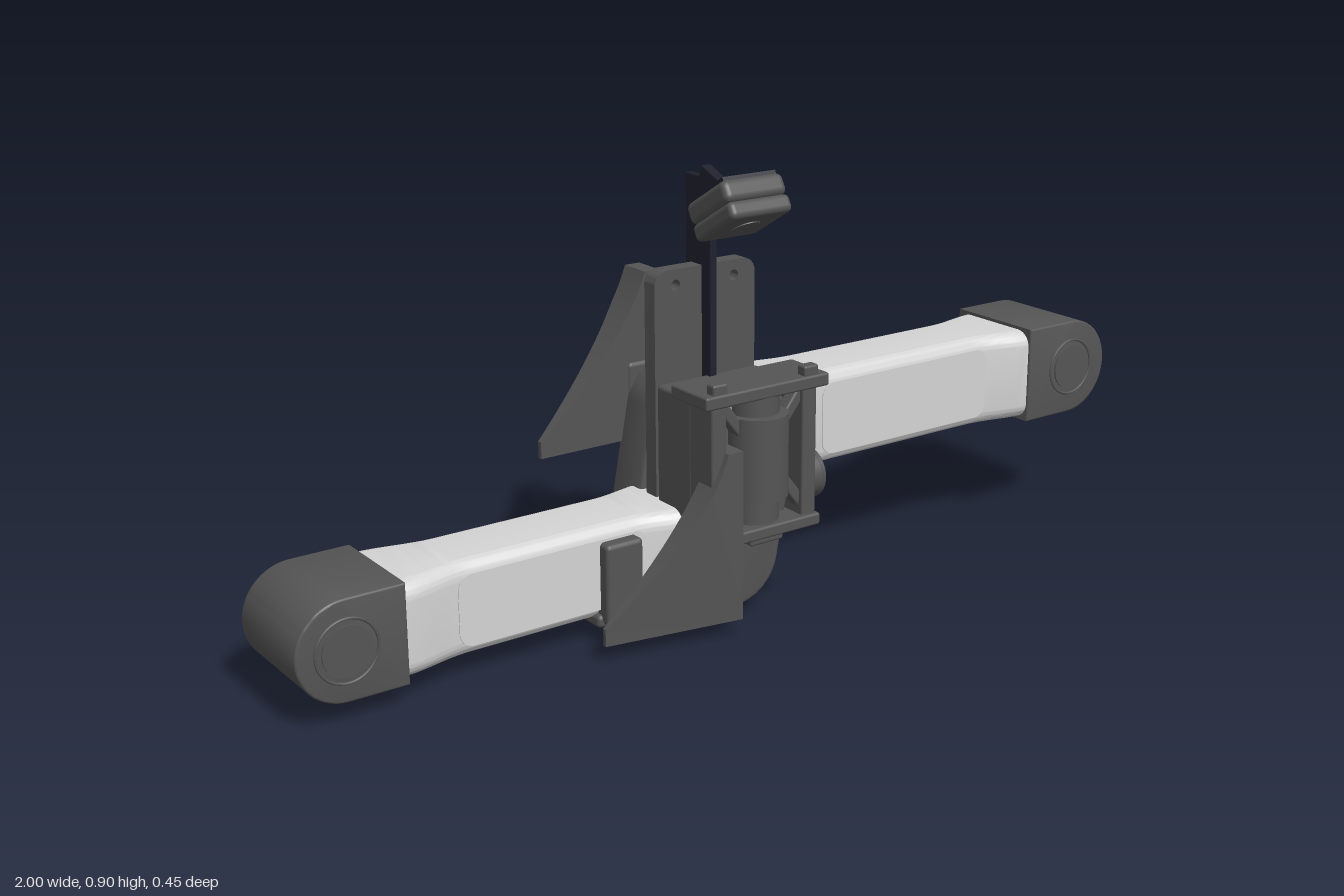
import * as THREE from 'three';
import { toCreasedNormals } from 'three/addons/utils/BufferGeometryUtils.js';
import { RoundedBoxGeometry } from 'three/addons/geometries/RoundedBoxGeometry.js';

const std = (name, color) => { const m = new THREE.MeshStandardMaterial({ color }); m.name = name; return m; };

function roundedRect(w, h, r, cx = 0, cy = 0) {
  const s = new THREE.Shape(), x = w / 2, y = h / 2;
  s.absarc(cx + x - r, cy + y - r, r, 0, Math.PI / 2);
  s.absarc(cx - x + r, cy + y - r, r, Math.PI / 2, Math.PI);
  s.absarc(cx - x + r, cy - y + r, r, Math.PI, Math.PI * 1.5);
  s.absarc(cx + x - r, cy - y + r, r, Math.PI * 1.5, Math.PI * 2);
  return s;
}

const smooth = (g) => toCreasedNormals(g, 0.6);

export function createModel() {
  const root = new THREE.Group();
  root.name = 'robotArm';
  const dark = std('dark grey plastic', 0x555555);
  const light = std('light grey plastic', 0xd4d4d4);
  const navy = std('navy metal', 0x20202e);

  const add = (name, geo, mat, x = 0, y = 0, z = 0, parent = root) => {
    const m = new THREE.Mesh(geo, mat);
    m.name = name;
    m.position.set(x, y, z);
    parent.add(m);
    return m;
  };
  const box = (name, mat, x0, x1, y0, y1, z0, z1, r = 0.005) =>
    add(name, new RoundedBoxGeometry(x1 - x0, y1 - y0, z1 - z0, 2, r), mat, (x0 + x1) / 2, (y0 + y1) / 2, (z0 + z1) / 2);
  // Shape in the xy plane, thickened from z0 to z1
  const slab = (name, mat, shape, z0, z1, bevel = 0) => {
    const g = new THREE.ExtrudeGeometry(shape, {
      depth: z1 - z0 - 2 * bevel, bevelEnabled: bevel > 0, bevelSize: bevel,
      bevelThickness: bevel, bevelOffset: -bevel, bevelSegments: 3, curveSegments: 16,
    });
    return add(name, smooth(g), mat, 0, 0, z0 + bevel);
  };
  const cyl = (name, mat, r, len, axis, x, y, z) => {
    const m = add(name, new THREE.CylinderGeometry(r, r, len, 40), mat, x, y, z);
    if (axis === 'x') m.rotation.z = Math.PI / 2;
    if (axis === 'z') m.rotation.x = Math.PI / 2;
    return m;
  };

  // Arm links: rounded section, waisted in the middle
  function link(name, x0, x1, yc, h) {
    const len = x1 - x0;
    const g = new THREE.ExtrudeGeometry(roundedRect(0.225, h, 0.035), { depth: len, steps: 48, bevelEnabled: false, curveSegments: 6 });
    g.rotateY(Math.PI / 2);
    const p = g.attributes.position;
    for (let i = 0; i < p.count; i++) {
      const d = Math.min(p.getX(i), len - p.getX(i));
      p.setZ(i, p.getZ(i) * (1 - 0.26 * THREE.MathUtils.smoothstep(d, 0.02, 0.17)));
    }
    add(name, smooth(g), light, x0, yc, -0.015);
    // Raised side panels on the waist
    const mid = (x0 + x1) / 2;
    for (const s of [-1, 1])
      slab(name + 'SidePanel', light, roundedRect(len - 0.28, h - 0.045, 0.03, mid, yc), -0.015 + s * 0.084 - 0.004, -0.015 + s * 0.084 + 0.004);
  }
  link('upperLink', 0.06, 0.8, 0.353, 0.2);
  link('lowerLink', -0.8, -0.1, 0.143, 0.19);

  // Rounded end caps with bearing discs
  function endCap(name, s, xJoin, xc, yc, r) {
    const shape = new THREE.Shape();
    shape.moveTo(s * xJoin, yc - r);
    shape.lineTo(s * xc, yc - r);
    shape.absarc(s * xc, yc, r, -Math.PI / 2, Math.PI / 2, s < 0);
    shape.lineTo(s * xJoin, yc + r);
    shape.closePath();
    slab(name, dark, shape, -0.13, 0.102, 0.004);
    for (const z of [-0.13, 0.102]) {
      const ring = add(name + 'BearingRing', new THREE.TorusGeometry(0.062, 0.003, 6, 40), dark, s * xc, yc, z);
      ring.name = name + 'BearingRing';
      cyl(name + 'BearingDisc', dark, 0.05, 0.006, 'z', s * xc, yc, z);
    }
  }
  endCap('upperEndCap', 1, 0.765, 0.894, 0.354, 0.106);
  endCap('lowerEndCap', -1, 0.78, 0.9, 0.144, 0.1);

  // Mounting plate with four corner holes
  const plate = roundedRect(0.245, 0.7, 0.03, -0.038, 0.352);
  for (const x of [-0.11, 0.032]) for (const y of [0.035, 0.67]) {
    const hole = new THREE.Path();
    hole.absarc(x, y, 0.011, 0, Math.PI * 2, true);
    plate.holes.push(hole);
  }
  slab('mountingPlate', dark, plate, -0.045, -0.01);

  // Two joint housings joining the arm roots
  function capsule(ax, ay, bx, by, r) {
    const a = Math.atan2(by - ay, bx - ax), s = new THREE.Shape();
    s.absarc(ax, ay, r, a + Math.PI / 2, a + Math.PI * 1.5);
    s.absarc(bx, by, r, a - Math.PI / 2, a + Math.PI / 2);
    return s;
  }
  slab('rearHousing', dark, capsule(-0.03, 0.385, -0.075, 0.138, 0.103), -0.165, -0.065, 0.008);
  slab('frontHousing', dark, capsule(-0.03, 0.375, -0.075, 0.138, 0.103), 0.055, 0.15, 0.008);
  cyl('upperHub', dark, 0.095, 0.13, 'z', -0.03, 0.365, -0.005);

  // Saddle around the lower arm root
  box('saddleFront', dark, -0.35, -0.265, 0.04, 0.21, 0.05, 0.1, 0.01);
  box('saddleRear', dark, -0.35, -0.265, 0.04, 0.21, -0.125, -0.08, 0.01);
  box('saddleBase', dark, -0.36, -0.1, 0.032, 0.06, -0.105, 0.08, 0.01);

  // Curved triangular wings, thin at the outer tip
  function wing(name, dx, dy, zIn, zOut) {
    const s = new THREE.Shape();
    s.moveTo(-0.05, 0.315);
    s.lineTo(-0.05, 0.665);
    s.lineTo(-0.085, 0.665);
    s.quadraticCurveTo(-0.13, 0.53, -0.34, 0.35);
    s.lineTo(-0.34, 0.315);
    s.closePath();
    const g = new THREE.ExtrudeGeometry(s, { depth: 1, bevelEnabled: false, curveSegments: 16 });
    const p = g.attributes.position, lo = Math.min(zIn, zOut), out = zOut < zIn ? 0 : 1;
    for (let i = 0; i < p.count; i++) {
      const t = 0.15 + 0.85 * THREE.MathUtils.clamp((p.getX(i) + 0.34) / 0.22, 0, 1);
      const outer = Math.round(p.getZ(i)) === out;
      p.setZ(i, outer ? zIn + (zOut - zIn) * t : zIn);
    }
    g.computeVertexNormals();
    add(name, smooth(g), dark, dx, dy, 0);
  }
  wing('rearWing', 0, 0, -0.155, -0.228);
  wing('frontWing', -0.055, -0.28, 0.15, 0.208);
  box('rearWingMount', dark, -0.13, 0.0, 0.33, 0.48, -0.215, -0.15, 0.01);

  // Gripper drive: box, cage and upright motor
  box('gearbox', dark, -0.165, 0.08, 0.22, 0.478, 0.0, 0.12, 0.008);
  box('cageTop', dark, -0.19, 0.108, 0.478, 0.505, 0.085, 0.205);
  box('cageBottom', dark, -0.14, 0.09, 0.19, 0.215, 0.1, 0.205);
  for (const x of [-0.17, 0.05]) {
    box('cagePost', dark, x, x + 0.035, 0.2, 0.49, 0.12, 0.195);
    box('cageTab', dark, x, x + 0.035, 0.48, 0.525, 0.175, 0.2);
  }
  box('lowerTab', dark, -0.08, 0.0, 0.178, 0.2, 0.17, 0.2);
  cyl('motor', dark, 0.062, 0.17, 'y', -0.04, 0.357, 0.165);
  for (const y of [0.245, 0.455]) cyl('motorCollar', dark, 0.05, 0.05, 'y', -0.04, y, 0.155);
  for (const s of [-1, 1]) for (const t of [-1, 1]) {
    const arm = box('cageBrace', dark, -0.05, 0.05, -0.012, 0.012, -0.015, 0.015);
    arm.position.set(-0.04 + s * 0.072, 0.357 + t * 0.085, 0.17);
    arm.rotation.z = s * t * 0.9;
  }

  // Side pulley
  cyl('sidePulley', dark, 0.05, 0.06, 'x', 0.085, 0.277, 0.135);
  const rim = add('sidePulleyRim', new THREE.TorusGeometry(0.045, 0.007, 8, 40), dark, 0.115, 0.277, 0.135);
  rim.rotation.y = Math.PI / 2;
  box('sideBracket', dark, 0.075, 0.112, 0.33, 0.37, 0.09, 0.16);

  // Mast and its angled head
  box('mast', navy, -0.047, -0.031, 0.44, 0.88, -0.065, 0.02, 0.003);
  const head = box('mastHead', navy, -0.05, -0.028, 0.825, 0.89, -0.025, 0.035, 0.003);
  head.rotation.x = 0.38;
  head.position.set(-0.039, 0.862, 0.01);

  // Tilted camera
  const cam = new THREE.Group();
  cam.name = 'camera';
  cam.position.set(-0.038, 0.838, 0.1);
  cam.rotation.x = -Math.PI / 6;
  root.add(cam);
  add('cameraLowerShell', new RoundedBoxGeometry(0.145, 0.036, 0.142, 3, 0.012), dark, 0, -0.025, 0, cam);
  add('cameraUpperShell', new RoundedBoxGeometry(0.145, 0.045, 0.142, 3, 0.014), dark, 0, 0.014, 0, cam);
  add('cameraBackPlate', new THREE.BoxGeometry(0.125, 0.008, 0.13), navy, 0, 0.039, -0.003, cam);
  add('cameraPort', new RoundedBoxGeometry(0.006, 0.012, 0.055, 2, 0.002), dark, 0.073, 0.012, -0.01, cam);
  add('cameraLens', new THREE.CylinderGeometry(0.03, 0.03, 0.006, 32), dark, 0, -0.042, 0, cam);
  add('cameraArm', new THREE.BoxGeometry(0.02, 0.02, 0.06), navy, 0, 0.036, -0.07, cam);
  return root;
}
